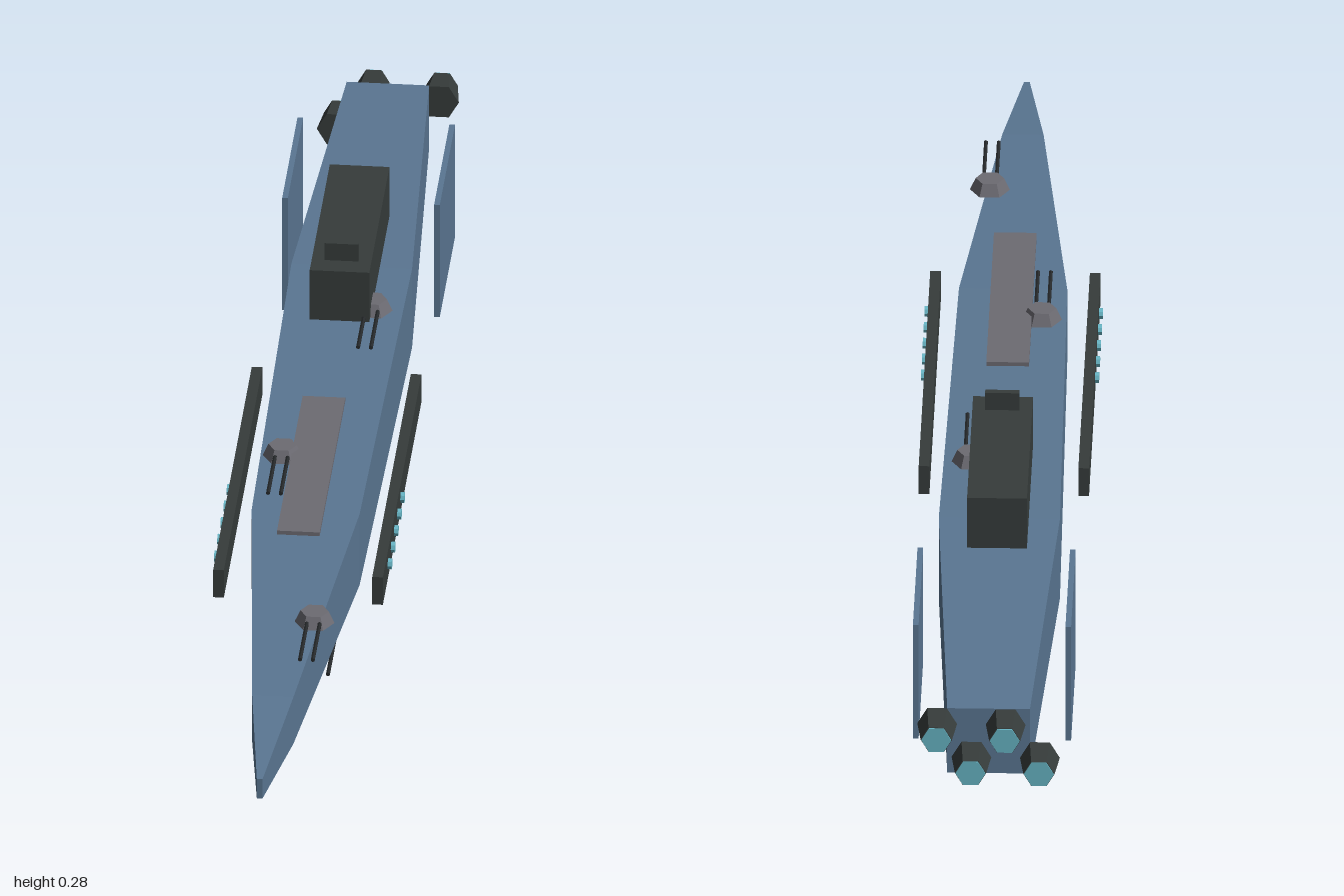
import * as THREE from 'three';

const mat = (name, color) => {
  const m = new THREE.MeshStandardMaterial({ color, flatShading: true });
  m.name = name;
  return m;
};

export function createModel() {
  const hullBlue = mat('hull blue', 0x5a7692);
  const darkGrey = mat('dark grey', 0x363c3b);
  const deckGrey = mat('deck grey', 0x6c6b72);
  const gunBlack = mat('gun black', 0x25282a);
  const glowCyan = mat('glow cyan', 0x66b4c4);

  const model = new THREE.Group();
  const add = (name, geo, material, x = 0, y = 0, z = 0, parent = model) => {
    const mesh = new THREE.Mesh(geo, material);
    mesh.name = name;
    mesh.position.set(x, y, z);
    parent.add(mesh);
    return mesh;
  };

  // hull: rectangular sections from bow to stern [z, half width, bottom, top]
  const sections = [
    [1, 0.004, 0.077, 0.108],
    [0.8, 0.029, 0.055, 0.13],
    [0.3, 0.076, 0.035, 0.149],
    [-0.4, 0.085, 0.028, 0.154],
    [-0.95, 0.058, 0.04, 0.142],
  ];
  const rings = sections.map(([z, w, b, t]) => [[-w, b, z], [w, b, z], [w, t, z], [-w, t, z]]);
  const pos = [];
  const quad = (a, b, c, d) => pos.push(...a, ...b, ...c, ...a, ...c, ...d);
  for (let i = 0; i < rings.length - 1; i++) {
    const f = rings[i], r = rings[i + 1];
    for (let k = 0; k < 4; k++) {
      const n = (k + 1) % 4;
      quad(f[k], r[k], r[n], f[n]);
    }
  }
  quad(...rings[0]);
  quad(...[...rings[rings.length - 1]].reverse());
  const hullGeo = new THREE.BufferGeometry();
  hullGeo.setAttribute('position', new THREE.Float32BufferAttribute(pos, 3));
  hullGeo.computeVertexNormals();
  add('hull', hullGeo, hullBlue);

  // bridge block, its mast slab and the forward deck plate
  add('bridge', new THREE.BoxGeometry(0.084, 0.079, 0.306), darkGrey, 0, 0.2095, -0.367);
  add('bridgeMast', new THREE.BoxGeometry(0.048, 0.027, 0.01), darkGrey, 0, 0.2625, -0.25);
  add('deckPlate', new THREE.BoxGeometry(0.06, 0.006, 0.39), deckGrey, 0, 0.176, 0.217);

  // side fins, armour panels and round ports, mirrored
  const finGeo = new THREE.BoxGeometry(0.008, 0.18, 0.233);
  const panelGeo = new THREE.BoxGeometry(0.015, 0.044, 0.587);
  const portGeo = new THREE.CylinderGeometry(0.008, 0.008, 0.006, 8).rotateZ(Math.PI / 2);
  for (const s of [1, -1]) {
    const side = s > 0 ? 'left' : 'right';
    add(side + 'Fin', finGeo, hullBlue, s * 0.107, 0.09, -0.657);
    add(side + 'Panel', panelGeo, darkGrey, s * 0.112, 0.092, 0.123);
    for (let i = 0; i < 5; i++) {
      add(side + 'Port', portGeo, glowCyan, s * 0.122, 0.092, 0.337 - i * 0.048);
    }
  }

  // paired gun barrels running forward
  const barrelGeo = new THREE.CylinderGeometry(0.003, 0.003, 0.105, 6).rotateX(Math.PI / 2);
  const addBarrels = (name, x, y, z, parent) => {
    for (const s of [1, -1]) add(name, barrelGeo, gunBlack, x + s * 0.009, y, z, parent);
  };

  // deck turrets: six-sided tapered bases
  const baseGeo = new THREE.CylinderGeometry(0.02, 0.028, 0.018, 6).rotateY(Math.PI / 6);
  for (const [x, y, z] of [[0.041, 0.153, 0.607], [-0.044, 0.176, 0.175], [0.043, 0.176, -0.255]]) {
    const turret = new THREE.Group();
    turret.name = 'turret';
    turret.position.set(x, y, z);
    add('turretBase', baseGeo, deckGrey, 0, 0, 0, turret);
    addBarrels('turretBarrel', 0, 0, 0.073, turret);
    model.add(turret);
  }

  // belly guns on alternating sides
  for (const [x, z] of [[0.042, 0.46], [-0.043, 0.034], [0.042, -0.397]]) {
    addBarrels('bellyBarrel', x, 0.008, z, model);
  }

  // four staggered six-sided engines with glowing ends
  const engineGeo = new THREE.CylinderGeometry(0.028, 0.022, 0.049, 6)
    .rotateY(Math.PI / 6).rotateX(Math.PI / 2);
  const glowGeo = new THREE.CylinderGeometry(0.021, 0.021, 0.003, 6)
    .rotateY(Math.PI / 6).rotateX(Math.PI / 2);
  for (let i = 0; i < 4; i++) {
    const x = -0.072 + i * 0.048;
    const y = i % 2 ? 0.117 : 0.065;
    add('engine', engineGeo, darkGrey, x, y, -0.9735);
    add('engineGlow', glowGeo, glowCyan, x, y, -0.9985);
  }

  return model;
}
